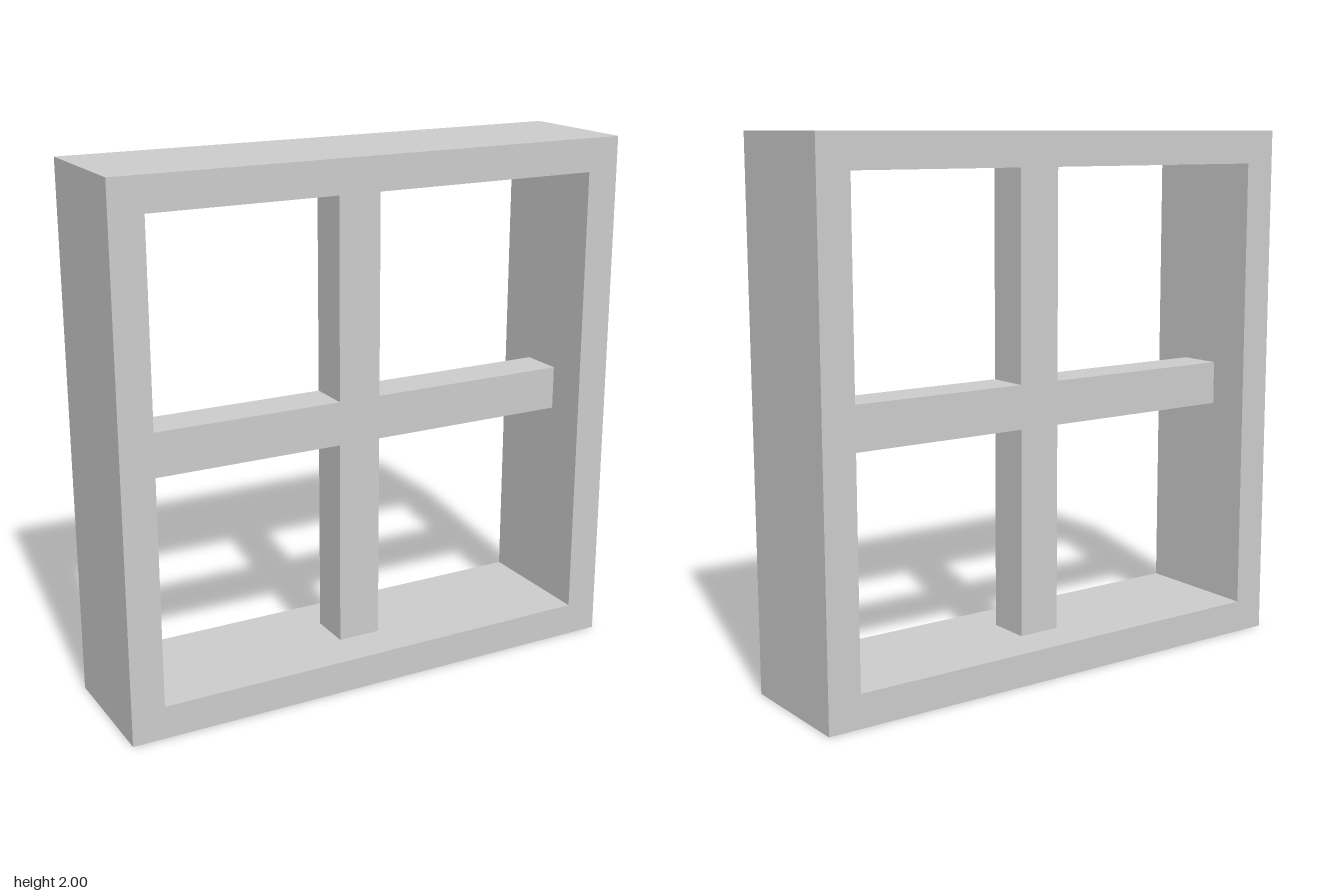
import * as THREE from 'three';

const HALF = 1;        // outer half width of the frame
const INNER = 0.875;   // half width of the opening
const BAR = 1 / 12;    // half thickness of the glazing bars
const DEPTH = 0.5;     // frame depth

const points = (list) => list.map(([x, y]) => new THREE.Vector2(x, y));
const square = (h) => points([[-h, -h], [h, -h], [h, h], [-h, h]]);

// Extrudes a shape along z, centred on z = 0 and lifted to stand on the ground
function extruded(name, shape, depth, material) {
  const geometry = new THREE.ExtrudeGeometry(shape, { depth, bevelEnabled: false });
  geometry.translate(0, HALF, -depth / 2);
  const mesh = new THREE.Mesh(geometry, material);
  mesh.name = name;
  return mesh;
}

export function createModel() {
  const group = new THREE.Group();
  group.name = 'window';
  const material = new THREE.MeshStandardMaterial({ color: 0xcccccc, flatShading: true });

  // Deep square frame around the opening
  const frame = new THREE.Shape(square(HALF));
  frame.holes.push(new THREE.Path(square(INNER)));
  group.add(extruded('frame', frame, DEPTH, material));

  // Cross of square glazing bars, one arm repeated by quarter turns
  const outline = [];
  for (let i = 0; i < 4; i++) {
    const arm = points([[INNER, -BAR], [INNER, BAR], [BAR, BAR]]);
    const angle = (i * Math.PI) / 2;
    outline.push(...arm.map((p) => p.rotateAround(new THREE.Vector2(), angle)));
  }
  group.add(extruded('crossBars', new THREE.Shape(outline), BAR * 2, material));

  return group;
}
